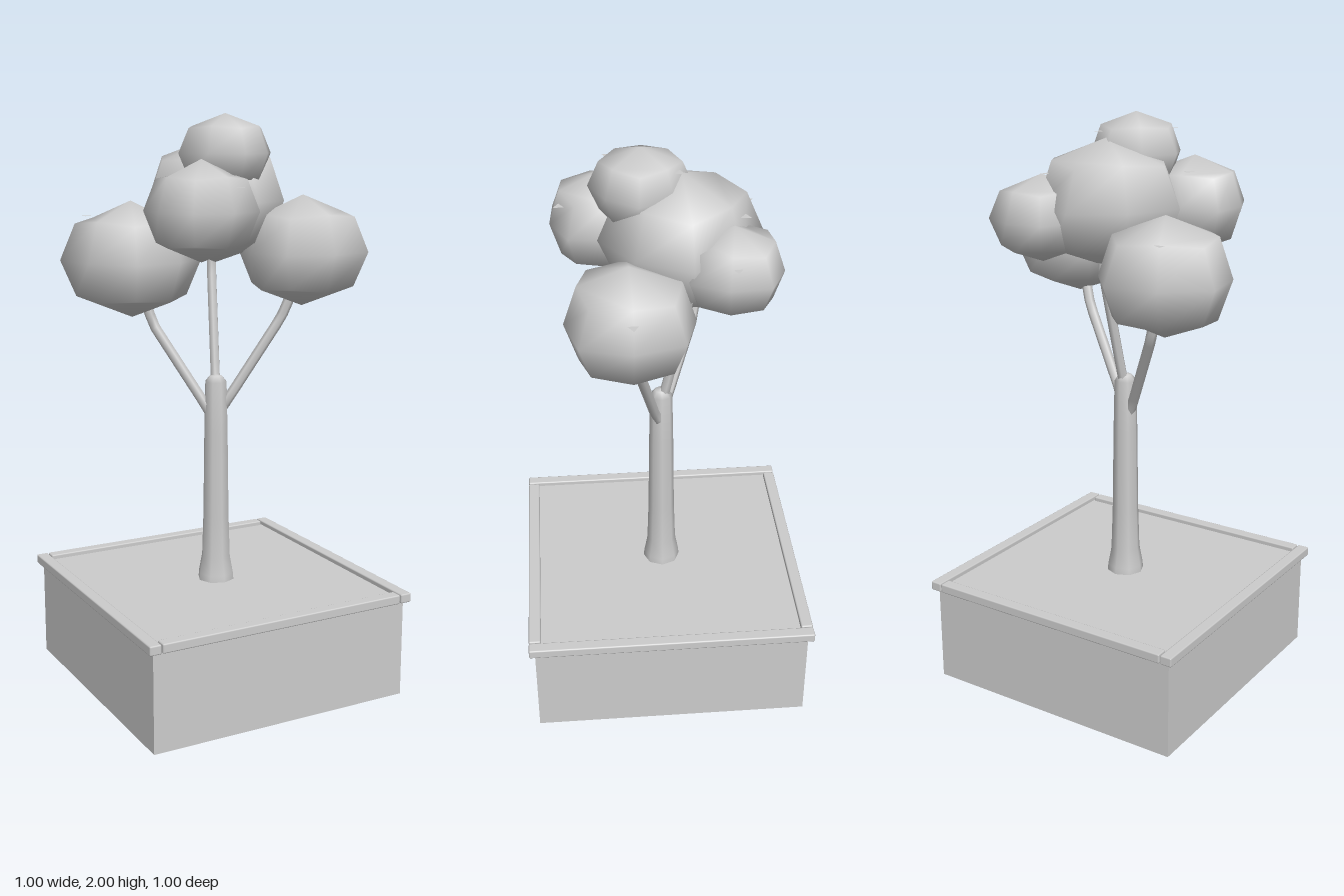
import * as THREE from 'three';
import { mergeVertices } from 'three/addons/utils/BufferGeometryUtils.js';
import { RoundedBoxGeometry } from 'three/addons/geometries/RoundedBoxGeometry.js';

const grey = new THREE.MeshStandardMaterial({ color: 0xcccccc, side: THREE.DoubleSide });
grey.name = 'light grey';

function add(parent, name, geometry, x = 0, y = 0, z = 0) {
  const mesh = new THREE.Mesh(geometry, grey);
  mesh.name = name;
  mesh.position.set(x, y, z);
  parent.add(mesh);
  return mesh;
}

// Low-poly ball: a cube cut 2 x 2 x 2 and puffed out, with smooth normals
function foliageGeometry() {
  const g = new THREE.BoxGeometry(2, 2, 2, 2, 2, 2);
  const p = g.attributes.position;
  for (let i = 0; i < p.count; i++) {
    const v = new THREE.Vector3().fromBufferAttribute(p, i).round();
    const n = Math.abs(v.x) + Math.abs(v.y) + Math.abs(v.z);
    const s = [1, 1, 0.79, 0.62][n];
    const sy = n === 2 ? 0.68 : s;
    p.setXYZ(i, v.x * s, v.y * sy, v.z * s);
  }
  g.deleteAttribute('uv');
  g.deleteAttribute('normal');
  const merged = mergeVertices(g);
  merged.computeVertexNormals();
  return merged;
}

export function createModel() {
  const model = new THREE.Group();
  model.name = 'pottedTree';

  // Planter: four thin walls, open underneath
  const planter = new THREE.Group();
  planter.name = 'planter';
  model.add(planter);
  for (let i = 0; i < 4; i++) {
    const a = i * Math.PI / 2;
    const wall = add(planter, 'planterWall', new THREE.PlaneGeometry(0.96, 0.362),
      Math.sin(a) * 0.48, 0.181, Math.cos(a) * 0.48);
    wall.rotation.y = a;
  }
  add(planter, 'soil', new THREE.PlaneGeometry(0.96, 0.96), 0, 0.362, 0).rotation.x = -Math.PI / 2;

  // Rim bars with small bevels
  for (const s of [-1, 1]) {
    add(planter, 'sideRim', new RoundedBoxGeometry(0.042, 0.033, 1, 1, 0.005), s * 0.479, 0.3615, 0);
    add(planter, 'endRim', new RoundedBoxGeometry(0.908, 0.033, 0.042, 1, 0.005), 0, 0.3615, s * 0.479);
  }

  // Trunk with flared foot
  const trunk = [[0.066, 0.36], [0.064, 0.385], [0.052, 0.45], [0.047, 0.6],
    [0.043, 0.9], [0.039, 1.085], [0.022, 1.105], [0, 1.11]];
  add(model, 'trunk', new THREE.LatheGeometry(trunk.map(([r, y]) => new THREE.Vector2(r, y)), 8));

  // Branches, each a bent tube
  const branches = [
    [[-0.01, 0.95, 0], [-0.04, 1.01, -0.015], [-0.18, 1.28, -0.125], [-0.23, 1.45, -0.15]],
    [[0.01, 0.97, 0], [0.04, 1.03, 0.025], [0.21, 1.31, 0.09], [0.26, 1.45, 0.12]],
    [[0, 1.05, 0], [0.005, 1.11, -0.015], [0.03, 1.48, -0.09], [0.035, 1.65, -0.1]],
  ];
  for (const points of branches) {
    const path = new THREE.CurvePath();
    const v = points.map((q) => new THREE.Vector3(...q));
    for (let i = 0; i < v.length - 1; i++) path.add(new THREE.LineCurve3(v[i], v[i + 1]));
    add(model, 'branch', new THREE.TubeGeometry(path, 12, 0.018, 6));
  }

  // Foliage: centre, half sizes, turn about y in degrees
  const ball = foliageGeometry();
  const clumps = [
    [[-0.25, 1.51, -0.15], [0.218, 0.2, 0.218], 25],
    [[0.273, 1.54, 0.12], [0.205, 0.19, 0.207], 0],
    [[-0.155, 1.69, 0.19], [0.17, 0.165, 0.17], 10],
    [[0, 1.87, 0.065], [0.15, 0.13, 0.15], 40],
    [[0.03, 1.71, -0.06], [0.24, 0.215, 0.24], -41],
    [[0.19, 1.667, -0.21], [0.155, 0.145, 0.16], -10],
  ];
  for (const [c, size, turn] of clumps) {
    const clump = add(model, 'foliage', ball, ...c);
    clump.scale.set(...size);
    clump.rotation.y = THREE.MathUtils.degToRad(turn);
  }

  // Loose leaves: small level triangles, position and turn in degrees
  const leafShape = new THREE.CircleGeometry(0.021, 3).rotateX(-Math.PI / 2);
  const leaves = [
    [-0.34, 1.65, -0.33, 120], [0.145, 1.82, -0.25, 55], [0.325, 1.73, -0.205, 0],
    [0.46, 1.625, 0.12, 0], [-0.085, 1.77, 0.325, 60], [0.07, 1.94, -0.05, 50],
    [-0.22, 1.82, 0.035, 100], [-0.08, 1.94, 0.165, 110],
  ];
  for (const [x, y, z, turn] of leaves) {
    add(model, 'leaf', leafShape, x, y, z).rotation.y = THREE.MathUtils.degToRad(turn);
  }
  return model;
}
